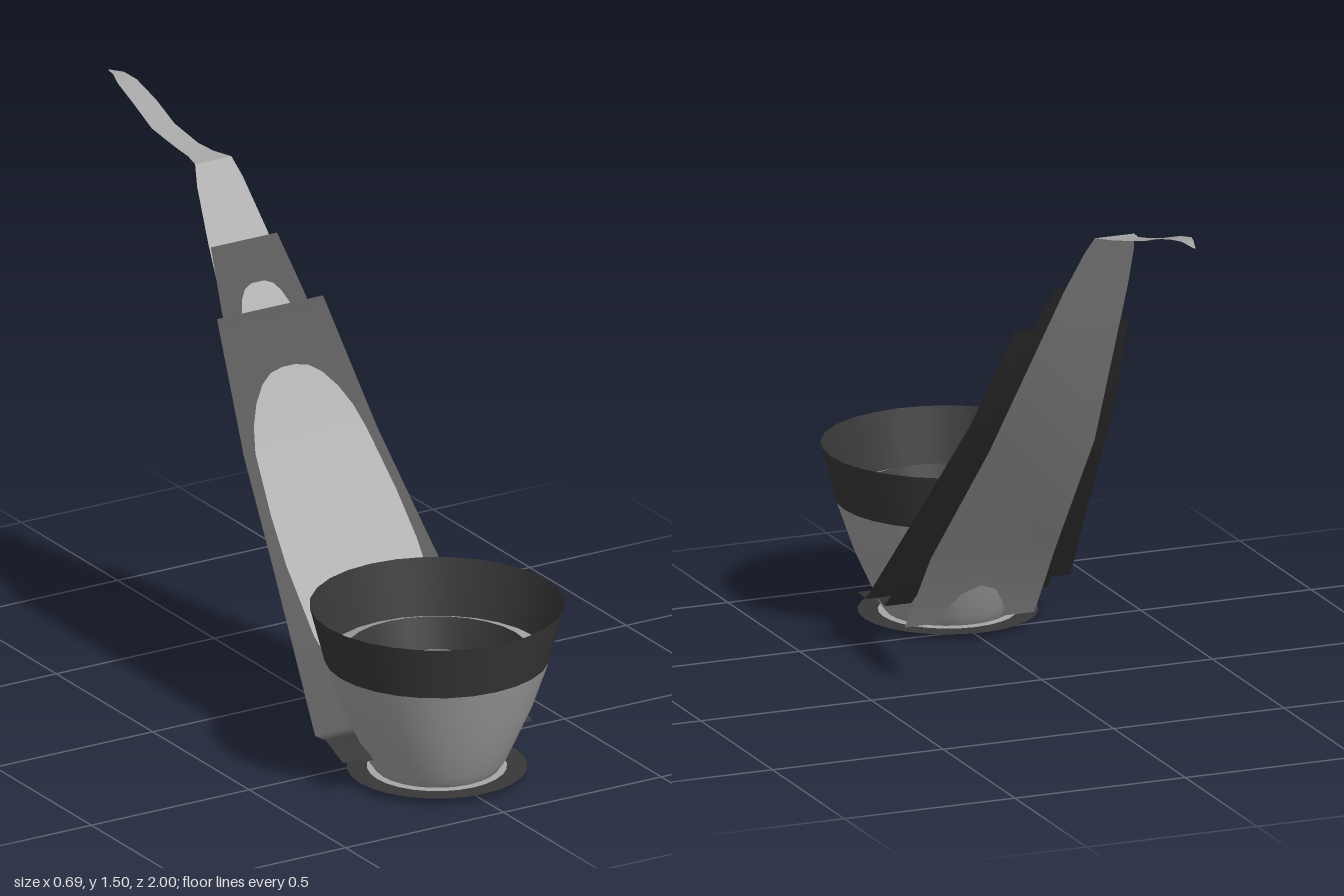
import * as THREE from 'three';

const gray = new THREE.MeshStandardMaterial({ color: 0xa6a6a6, side: THREE.DoubleSide });
gray.name = 'light gray';
const dark = new THREE.MeshStandardMaterial({ color: 0x383838, side: THREE.DoubleSide });
dark.name = 'charcoal';

const CUP_Z = 0.655;

export function createModel() {
  const group = new THREE.Group();

  const add = (name, geometry, material, x = 0, y = 0, z = 0) => {
    const mesh = new THREE.Mesh(geometry, material);
    mesh.name = name;
    mesh.position.set(x, y, z);
    group.add(mesh);
    return mesh;
  };

  // Surface of revolution around the cup axis, from [radius, y] points
  const turned = (name, points, material) =>
    add(name, new THREE.LatheGeometry(points.map(p => new THREE.Vector2(...p)), 28), material, 0, 0, CUP_Z);

  // Thin bent sheet from stations [y, z, right edge x, left edge x]
  const sheet = (name, stations, material) => {
    const positions = [], index = [];
    stations.forEach(([y, z, left, right = -left], i) => {
      positions.push(right, y, z, left, y, z);
      if (i > 0) {
        const a = 2 * i - 2;
        index.push(a, a + 2, a + 1, a + 1, a + 2, a + 3);
      }
    });
    const geometry = new THREE.BufferGeometry();
    geometry.setAttribute('position', new THREE.Float32BufferAttribute(positions, 3));
    geometry.setIndex(index);
    geometry.computeVertexNormals();
    return add(name, geometry, material);
  };

  // Depth of a sheet at a given height
  const depthAt = (stations, y) => {
    for (let i = 1; i < stations.length; i++) {
      const [y0, z0] = stations[i - 1], [y1, z1] = stations[i];
      if (y <= y0 && y >= y1) return z0 + (z1 - z0) * (y0 - y) / (y0 - y1);
    }
    return stations[0][1];
  };

  // Rounded panel lying just in front of a sheet, from [y, half width]
  const panel = (name, base, outline) =>
    sheet(name, outline.map(([y, w]) => [y + 0.003, depthAt(base, y) + 0.004, w]), gray);

  // Cup shell
  turned('cupBody', [[0.17, 0.022], [0.19, 0.05], [0.217, 0.11], [0.258, 0.2], [0.305, 0.335]], gray);
  turned('cupBand', [[0.305, 0.335], [0.345, 0.49]], dark);

  // Cup interior: ledge, collar, funnel and floor
  turned('innerLedge', [[0.305, 0.335], [0.25, 0.355]], gray);
  turned('innerCollar', [[0.25, 0.355], [0.22, 0.27]], dark);
  turned('innerFunnel', [[0.22, 0.27], [0.15, 0.11], [0.1, 0.03]], gray);
  turned('cupFloor', [[0.1, 0.03], [0, 0.03]], gray);

  // Flat base with concentric rings
  const rings = [0.245, 0.19, 0.125, 0.1, 0.06, 0.05, 0];
  for (let i = 0; i < rings.length - 1; i++) {
    turned('baseRing', [[rings[i + 1], 0.02], [rings[i], 0.02]], i % 2 ? gray : dark);
  }

  // Small studs under the base
  for (let i = 0; i < 5; i++) {
    add('baseStud', new THREE.BoxGeometry(0.016, 0.02, 0.03), gray, -0.13 + i * 0.048, 0.01, CUP_Z);
  }

  // Front sheet with its large oval panel
  const front = [
    [1.06, -0.21, 0.168], [0.74, 0, 0.211], [0.49, 0.208, 0.245],
    [0.12, 0.515, 0.3], [0.125, 0.57, 0.3], [0.09, 0.66, 0.3],
  ];
  sheet('frontSheet', front, dark);
  panel('frontOval', front, [
    [0.92, 0.02], [0.912, 0.06], [0.89, 0.095], [0.85, 0.13], [0.8, 0.158], [0.74, 0.177],
    [0.6, 0.198], [0.49, 0.206], [0.33, 0.2], [0.22, 0.17], [0.16, 0.12],
  ]);

  // Middle sheet with its partly covered panel
  const middle = [
    [1.21, -0.345, 0.105], [1.06, -0.243, 0.132], [0.7, 0, 0.17],
    [0.3, 0.345, 0.215], [0.09, 0.525, 0.24], [0.1, 0.57, 0.24], [0.08, 0.66, 0.24],
  ];
  sheet('middleSheet', middle, dark);
  panel('middleOval', middle, [[1.11, 0.02], [1.1, 0.045], [1.08, 0.062], [1.04, 0.08], [0.9, 0.11], [0.7, 0.13]]);

  // Back sheet, narrowing to the neck
  sheet('backSheet', [
    [1.39, -0.5, 0.055, -0.06], [1.34, -0.465, 0.07, -0.075], [1.21, -0.375, 0.092, -0.095],
    [0.66, 0, 0.155], [0.27, 0.335, 0.185], [0.03, 0.505, 0.19],
  ], gray);

  // Curved tail running backwards from the neck
  sheet('tail', [
    [1.49, -1, -0.025, -0.03], [1.497, -0.95, -0.01, -0.045], [1.49, -0.9, 0, -0.06],
    [1.465, -0.8, 0, -0.07], [1.43, -0.7, -0.003, -0.075], [1.405, -0.6, 0.01, -0.06],
    [1.395, -0.55, 0.028, -0.052], [1.39, -0.5, 0.055, -0.06],
  ], gray);

  return group;
}
